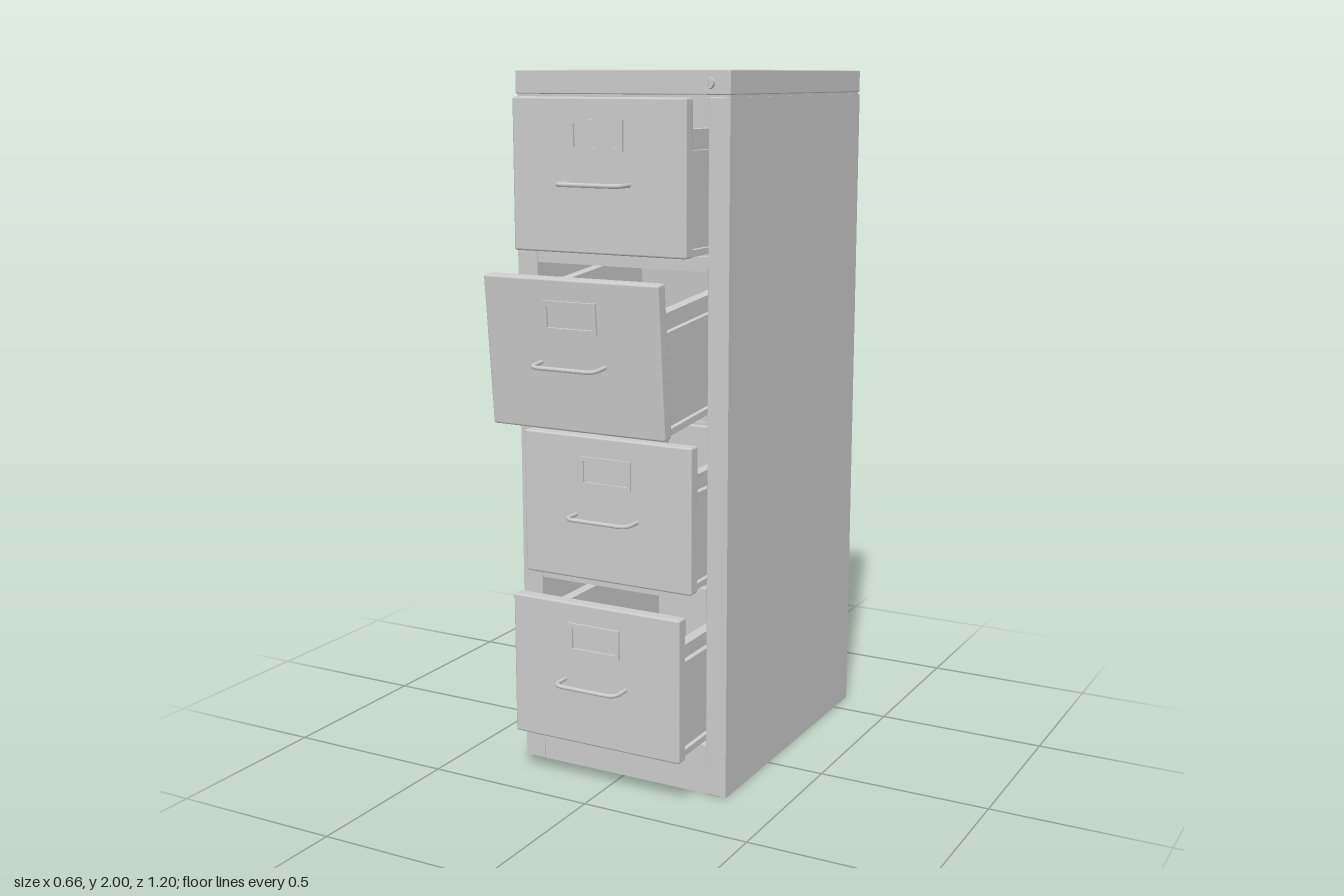
import * as THREE from 'three';
import { RoundedBoxGeometry } from 'three/addons/geometries/RoundedBoxGeometry.js';

const material = new THREE.MeshStandardMaterial({ color: 0xcccccc });

function add(parent, name, geometry) {
  const mesh = new THREE.Mesh(geometry, material);
  mesh.name = name;
  parent.add(mesh);
  return mesh;
}

// Box given by its extents along each axis
function box(parent, name, [x0, x1], [y0, y1], [z0, z1], radius = 0) {
  const size = [x1 - x0, y1 - y0, z1 - z0];
  const geometry = radius ? new RoundedBoxGeometry(...size, 2, radius) : new THREE.BoxGeometry(...size);
  geometry.translate((x0 + x1) / 2, (y0 + y1) / 2, (z0 + z1) / 2);
  return add(parent, name, geometry);
}

// The same box on both sides of x = 0
function pair(parent, name, [x0, x1], y, z, radius) {
  box(parent, name + 'Left', [x0, x1], y, z, radius);
  box(parent, name + 'Right', [-x1, -x0], y, z, radius);
}

function labelFrameGeometry() {
  const shape = new THREE.Shape();
  shape.moveTo(-0.08, -0.042).lineTo(0.08, -0.042).lineTo(0.08, 0.042).lineTo(-0.08, 0.042).closePath();
  const hole = new THREE.Path();
  hole.moveTo(-0.069, -0.03).lineTo(-0.069, 0.03).lineTo(0.069, 0.03).lineTo(0.069, -0.03).closePath();
  shape.holes.push(hole);
  return new THREE.ExtrudeGeometry(shape, { depth: 0.008, bevelEnabled: false });
}

// Bent rod with rounded corners
function handleGeometry() {
  const v = (x, z) => new THREE.Vector3(x, 0, z);
  const path = new THREE.CurvePath();
  path.add(new THREE.LineCurve3(v(-0.097, -0.005), v(-0.097, 0.03)));
  path.add(new THREE.QuadraticBezierCurve3(v(-0.097, 0.03), v(-0.097, 0.06), v(-0.067, 0.06)));
  path.add(new THREE.LineCurve3(v(-0.067, 0.06), v(0.067, 0.06)));
  path.add(new THREE.QuadraticBezierCurve3(v(0.067, 0.06), v(0.097, 0.06), v(0.097, 0.03)));
  path.add(new THREE.LineCurve3(v(0.097, 0.03), v(0.097, -0.005)));
  return new THREE.TubeGeometry(path, 60, 0.006, 10);
}

// Drawer with its origin at the bottom of the front face
function createDrawer() {
  const drawer = new THREE.Group();
  const back = -0.8, front = -0.036;
  box(drawer, 'drawerFront', [-0.264, 0.264], [0, 0.41], [-0.04, 0], 0.006);

  // Open tray
  box(drawer, 'trayFloor', [-0.235, 0.235], [0.004, 0.016], [back, front]);
  box(drawer, 'trayBack', [-0.235, 0.235], [0.004, 0.3], [back, back + 0.012]);
  pair(drawer, 'traySide', [0.227, 0.237], [0.004, 0.33], [back, front]);
  pair(drawer, 'topLip', [0.227, 0.259], [0.318, 0.33], [back, front]);
  pair(drawer, 'slideRail', [0.236, 0.252], [0.255, 0.275], [back, front]);
  pair(drawer, 'upperRail', [0.236, 0.247], [0.295, 0.319], [back, front]);
  pair(drawer, 'bottomRail', [0.236, 0.25], [0, 0.018], [back, front]);
  pair(drawer, 'frontPost', [0.236, 0.25], [0.018, 0.32], [-0.062, front]);

  // Label holder and pull
  add(drawer, 'labelFrame', labelFrameGeometry()).position.set(0, 0.311, -0.001);
  add(drawer, 'handle', handleGeometry()).position.set(0, 0.185, 0);
  return drawer;
}

export function createModel() {
  const model = new THREE.Group();
  model.name = 'filingCabinet';
  const zBack = -0.6, zFront = 0.284;

  // Hollow shell
  const shell = new THREE.Group();
  shell.name = 'cabinet';
  model.add(shell);
  box(shell, 'topCap', [-0.33, 0.33], [1.936, 2], [zBack, zFront], 0.003);
  box(shell, 'topSeam', [-0.326, 0.326], [1.926, 1.938], [zBack + 0.004, zFront - 0.004]);
  pair(shell, 'sidePanel', [0.312, 0.33], [0, 1.93], [zBack, zFront]);
  pair(shell, 'frontStile', [0.267, 0.329], [0, 1.93], [zFront - 0.035, zFront], 0.003);
  pair(shell, 'backStile', [0.267, 0.329], [0, 1.93], [zBack, zBack + 0.035], 0.003);
  box(shell, 'backPanel', [-0.27, 0.27], [0, 1.93], [zBack + 0.005, zBack + 0.02]);
  box(shell, 'floor', [-0.315, 0.315], [0.004, 0.02], [zBack + 0.006, zFront - 0.006]);
  box(shell, 'kickPlate', [-0.268, 0.268], [0, 0.142], [zFront - 0.03, zFront - 0.004]);

  // Rails between the drawers and runners behind the stiles
  const bottoms = [0.145, 0.605, 1.06, 1.52];
  for (const y of bottoms) {
    if (y > 0.2) {
      box(shell, 'crossRail', [-0.268, 0.268], [y - 0.045, y - 0.005], [zFront - 0.03, zFront - 0.004]);
    }
    pair(shell, 'runner', [0.262, 0.313], [y + 0.25, y + 0.28], [zBack + 0.03, zFront - 0.03]);
  }

  // Lock
  const lock = add(shell, 'lock', new THREE.CylinderGeometry(0.015, 0.016, 0.016, 24));
  lock.rotation.x = Math.PI / 2;
  lock.position.set(0.27, 1.966, zFront + 0.003);
  box(shell, 'lockSlot', [0.268, 0.272], [1.958, 1.974], [zFront + 0.01, zFront + 0.013]);

  // Drawers pulled out by different amounts, one of them sagging
  const fronts = [0.438, 0.37, 0.518, 0.402];
  const tilts = [0, 0, 5, 0];
  bottoms.forEach((y, i) => {
    const drawer = createDrawer();
    drawer.name = 'drawer' + (i + 1);
    drawer.position.set(0, y, fronts[i]);
    drawer.rotation.x = THREE.MathUtils.degToRad(tilts[i]);
    model.add(drawer);
  });
  return model;
}
